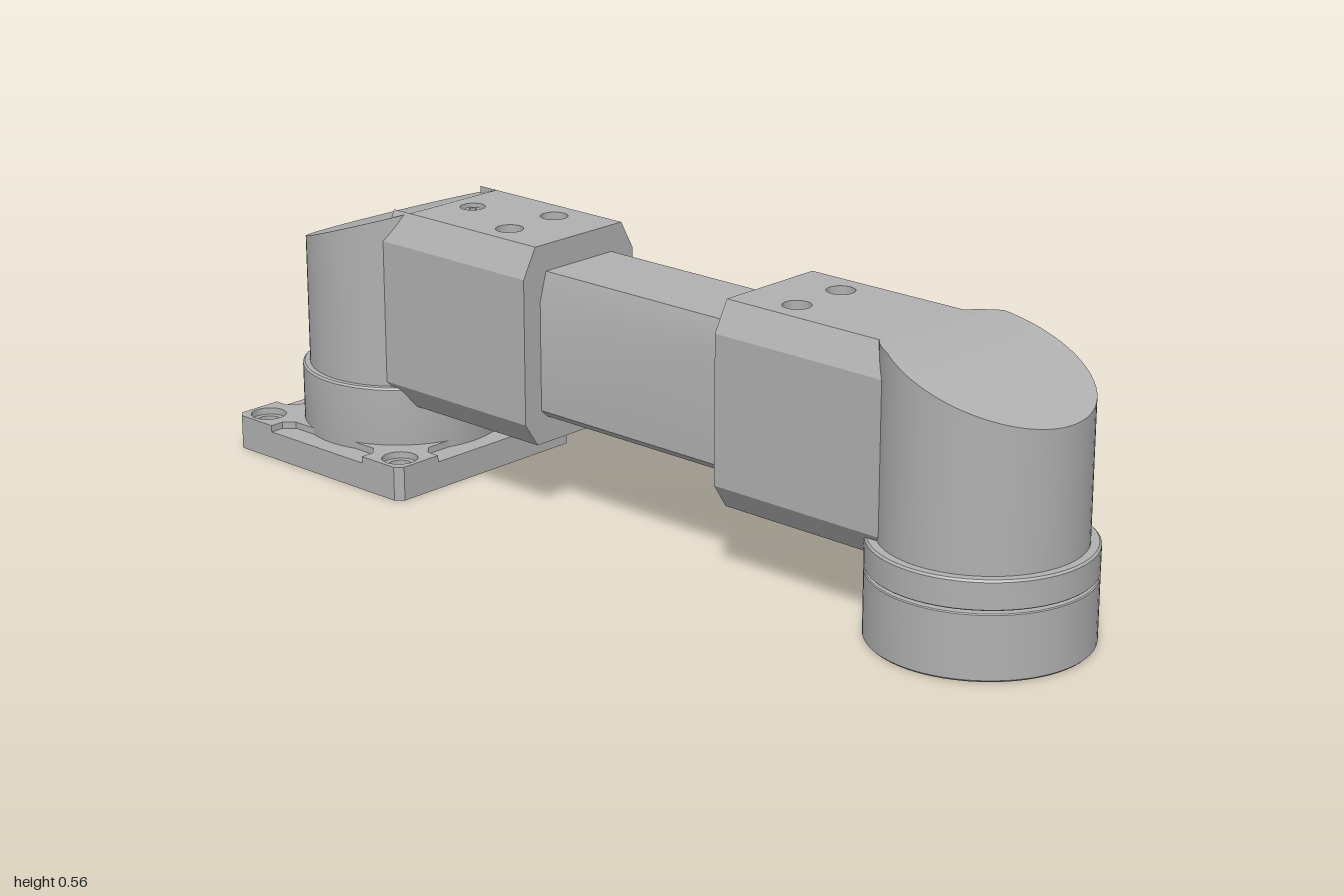
import * as THREE from 'three';
import { toCreasedNormals } from 'three/addons/utils/BufferGeometryUtils.js';
import { ConvexGeometry } from 'three/addons/geometries/ConvexGeometry.js';

const metal = new THREE.MeshStandardMaterial({ color: 0xb0b0b0 });
metal.name = 'grey metal';

function part(name, geometry, parent, x = 0, y = 0, z = 0) {
  const mesh = new THREE.Mesh(toCreasedNormals(geometry, 0.5), metal);
  mesh.name = name;
  mesh.position.set(x, y, z);
  parent.add(mesh);
  return mesh;
}

const shapeOf = (pts) => new THREE.Shape(pts.map(([x, y]) => new THREE.Vector2(x, y)));

function drill(shape, x, y, r) {
  const hole = new THREE.Path();
  hole.absarc(x, y, r, 0, Math.PI * 2, true);
  shape.holes.push(hole);
}

// Flat plate lying between two heights; shape y runs towards -z
function slab(shape, y0, y1) {
  return new THREE.ExtrudeGeometry(shape, { depth: y1 - y0, bevelEnabled: false, curveSegments: 24 })
    .rotateX(-Math.PI / 2).translate(0, y0, 0);
}

const lathe = (pts, n = 72) => new THREE.LatheGeometry(pts.map(([x, y]) => new THREE.Vector2(x, y)), n);

// Repeats one corner of an outline four times around the centre
function fourCorners(corner) {
  const pts = [];
  for (let k = 0; k < 4; k++) {
    for (let [x, y] of corner) {
      for (let i = 0; i < k; i++) [x, y] = [-y, x];
      pts.push([x, y]);
    }
  }
  return shapeOf(pts);
}

// Profile running along z, given by its right half from bottom to top
function bar(half, z0, z1) {
  const left = half.map(([x, y]) => [-x, y]).reverse();
  return new THREE.ExtrudeGeometry(shapeOf([...half, ...left]), { depth: z1 - z0, bevelEnabled: false })
    .translate(0, 0, z0);
}

const TOP = 0.565;

// Round elbow column, cut flat at the top and slanted on the outer side
function elbowColumn(breakAt, slope) {
  const r = 0.195, pts = [];
  const add = (x, z) => {
    pts.push(new THREE.Vector3(x, 0.18, z));
    pts.push(new THREE.Vector3(x, Math.min(TOP, TOP - (z - breakAt) * slope), z));
  };
  for (let i = 0; i < 72; i++) {
    const a = (i / 72) * Math.PI * 2;
    add(Math.sin(a) * r, Math.cos(a) * r);
  }
  const bx = Math.sqrt(r * r - breakAt * breakAt);
  add(bx, breakAt);
  add(-bx, breakAt);
  return new ConvexGeometry(pts);
}

// Eight-sided housing with drilled plates set into its top and bottom
function housing(name, parent, s, near, far, topEnd, topHoles, bottomHoles) {
  const g = new THREE.Group();
  g.name = name;
  parent.add(g);
  const w = 0.122;
  part('housingBody', bar([
    [w, 0.185], [w, 0.155], [0.155, 0.205], [0.155, 0.505], [w, TOP], [w, 0.535],
  ], Math.min(s * near, s * far), Math.max(s * near, s * far)), g);
  const plate = (label, end, holes, y) => {
    const a = -s * near, b = -s * end;
    const sh = shapeOf([[-w, Math.min(a, b)], [w, Math.min(a, b)], [w, Math.max(a, b)], [-w, Math.max(a, b)]]);
    for (const [x, z, r] of holes) drill(sh, x, -z, r);
    part(label, slab(sh, y, y + 0.03), g);
  };
  plate('topPlate', topEnd, topHoles, 0.535);
  plate('bottomPlate', far, bottomHoles, 0.155);
}

const pairs = (zs, r) => zs.flatMap((z) => [[-0.063, z, r], [0.063, z, r]]);

export function createModel() {
  const model = new THREE.Group();
  model.name = 'robotArmLink';

  // Middle tube
  part('armTube', bar([
    [0.095, 0.21], [0.11, 0.225], [0.11, 0.45], [0.093, 0.51],
  ], -0.25, 0.29), model);

  // Housings at both ends of the tube
  housing('frontHousing', model, 1, 0.27, 0.667, 0.68, pairs([0.39], 0.028), pairs([0.33, 0.515], 0.022));
  housing('rearHousing', model, -1, 0.23, 0.632, 0.585,
    [...pairs([-0.36], 0.028), [0, -0.53, 0.026]], pairs([-0.29, -0.475], 0.022));
  part('plugScrew', lathe([[0.008, 0.53], [0.016, 0.53], [0.016, 0.56], [0.008, 0.56], [0.008, 0.54], [0, 0.54]], 24),
    model, 0, 0, -0.53);

  // Front elbow with its turning joint
  const front = new THREE.Group();
  front.name = 'frontElbow';
  front.position.z = 0.785;
  model.add(front);
  part('frontColumn', elbowColumn(-0.095, 0.372), front);
  part('upperCollar', lathe([
    [0, 0.137], [0.213, 0.137], [0.215, 0.139], [0.215, 0.191], [0.211, 0.195], [0, 0.195],
  ]), front);
  part('jointPin', new THREE.CylinderGeometry(0.042, 0.042, 0.02, 32), front, 0, 0.134, 0);
  part('lowerCollar', lathe([
    [0, 0.11], [0.11, 0.11], [0.11, 0.03], [0.178, 0.03], [0.178, 0], [0.211, 0],
    [0.215, 0.004], [0.215, 0.129], [0.213, 0.131], [0, 0.131],
  ]), front);
  for (let i = 0; i < 4; i++) {
    const a = Math.PI / 4 + (i * Math.PI) / 2;
    part('screwBoss', lathe([
      [0, 0.025], [0.012, 0.025], [0.012, 0.002], [0.023, 0.002], [0.023, 0.035],
    ], 24), front, Math.sin(a) * 0.168, 0, Math.cos(a) * 0.168);
  }

  // Rear elbow on its mounting foot
  const rear = new THREE.Group();
  rear.name = 'rearElbow';
  rear.position.z = -0.75;
  model.add(rear);
  part('rearColumn', elbowColumn(-0.165, 0.335), rear).rotation.y = Math.PI;
  part('footCollar', lathe([
    [0, 0.1], [0.112, 0.1], [0.112, 0.004], [0.165, 0.004], [0.165, 0.03],
    [0.205, 0.03], [0.21, 0.06], [0.21, 0.191], [0.206, 0.195], [0, 0.195],
  ]), rear);

  // Square foot: underside rim, floor plate and raised corner pads
  const square = [[0.25, 0.235], [0.235, 0.25]];
  const bolts = (sh, r) => {
    for (const x of [-0.203, 0.203]) for (const y of [-0.203, 0.203]) drill(sh, x, y, r);
    return sh;
  };
  const rim = bolts(fourCorners(square), 0.025);
  rim.holes.push(new THREE.Path(fourCorners([[0.22, 0.13], [0.13, 0.22]]).getPoints().reverse()));
  part('footRim', slab(rim, 0, 0.025), rear);
  const floor = bolts(fourCorners(square), 0.025);
  drill(floor, 0, 0, 0.16);
  part('footPlate', slab(floor, 0.025, 0.058), rear);
  const pads = bolts(fourCorners([
    [0.2, 0.12], [0.22, 0.14], [0.25, 0.14], [0.25, 0.235],
    [0.235, 0.25], [0.14, 0.25], [0.14, 0.22], [0.12, 0.2],
  ]), 0.037);
  drill(pads, 0, 0, 0.16);
  part('footPads', slab(pads, 0.058, 0.072), rear);

  return model;
}
